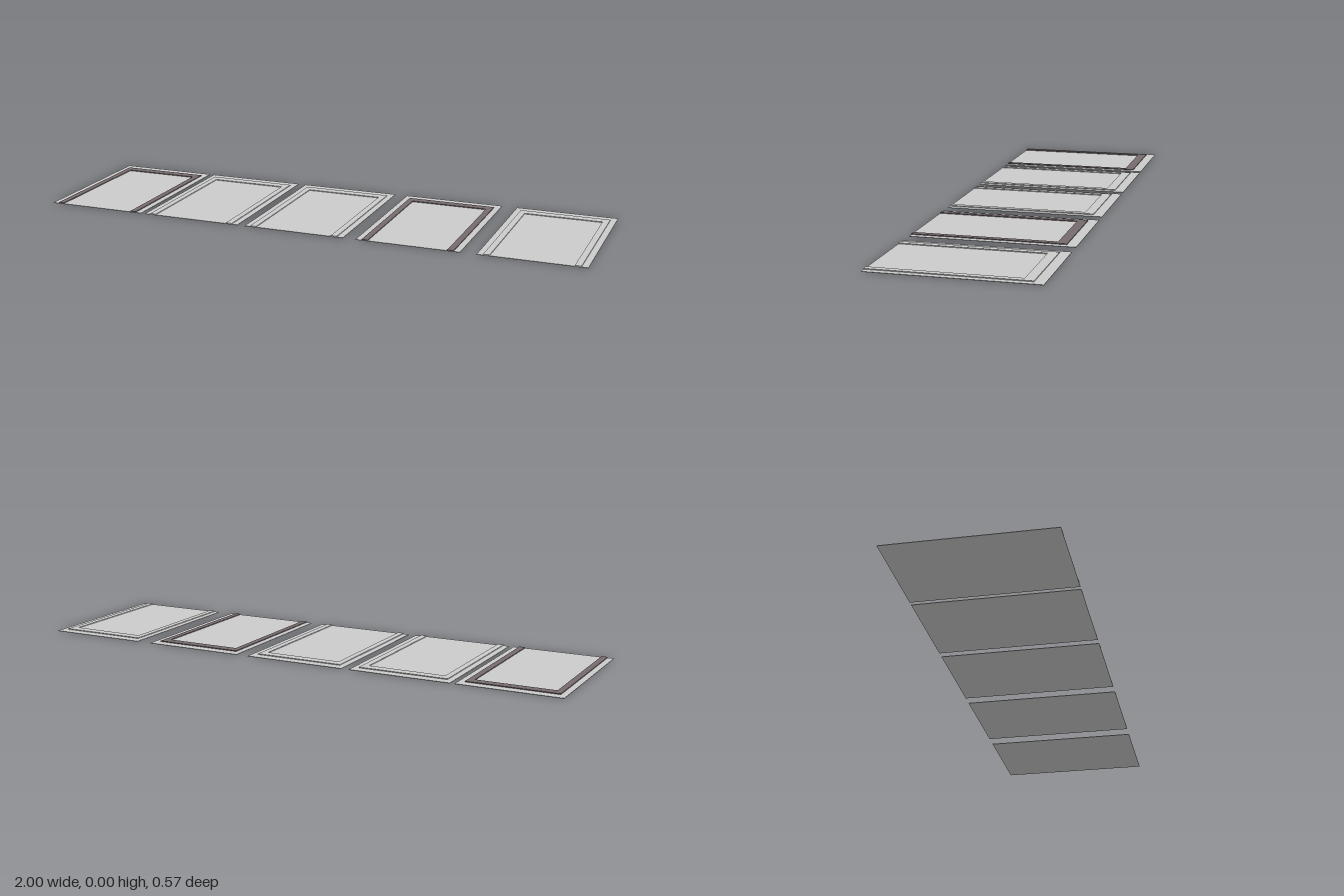
import * as THREE from 'three';

const WIDTH = 0.37, DEPTH = 0.566, BASE = 0.002, RAISE = 0.003;

// U-shaped raised border, open towards the front (+z)
function borderGeometry() {
  const x = 0.163, xi = 0.141, front = -DEPTH / 2, back = 0.248, backInner = 0.214;
  const shape = new THREE.Shape([
    [-x, front], [-xi, front], [-xi, backInner], [xi, backInner],
    [xi, front], [x, front], [x, back], [-x, back],
  ].map(([a, b]) => new THREE.Vector2(a, b)));
  const geometry = new THREE.ExtrudeGeometry(shape, { depth: RAISE, bevelEnabled: false });
  return geometry.rotateX(-Math.PI / 2).translate(0, BASE, 0);
}

export function createModel() {
  const group = new THREE.Group();
  group.name = 'panelRow';
  const grey = new THREE.MeshStandardMaterial({ color: 0xcccccc });
  const dark = new THREE.MeshStandardMaterial({ color: 0x766b6e });

  const slab = new THREE.BoxGeometry(WIDTH, BASE, DEPTH).translate(0, BASE / 2, 0);
  const border = borderGeometry();

  // Five slightly unevenly spaced panels; two have dark borders
  const panels = [[-0.815, dark], [-0.428, grey], [-0.029, grey], [0.388, dark], [0.815, grey]];
  panels.forEach(([x, borderMaterial], i) => {
    const panel = new THREE.Group();
    panel.name = `panel${i + 1}`;
    panel.position.x = x;
    const base = new THREE.Mesh(slab, grey);
    base.name = 'base';
    const frame = new THREE.Mesh(border, borderMaterial);
    frame.name = 'border';
    panel.add(base, frame);
    group.add(panel);
  });
  return group;
}
